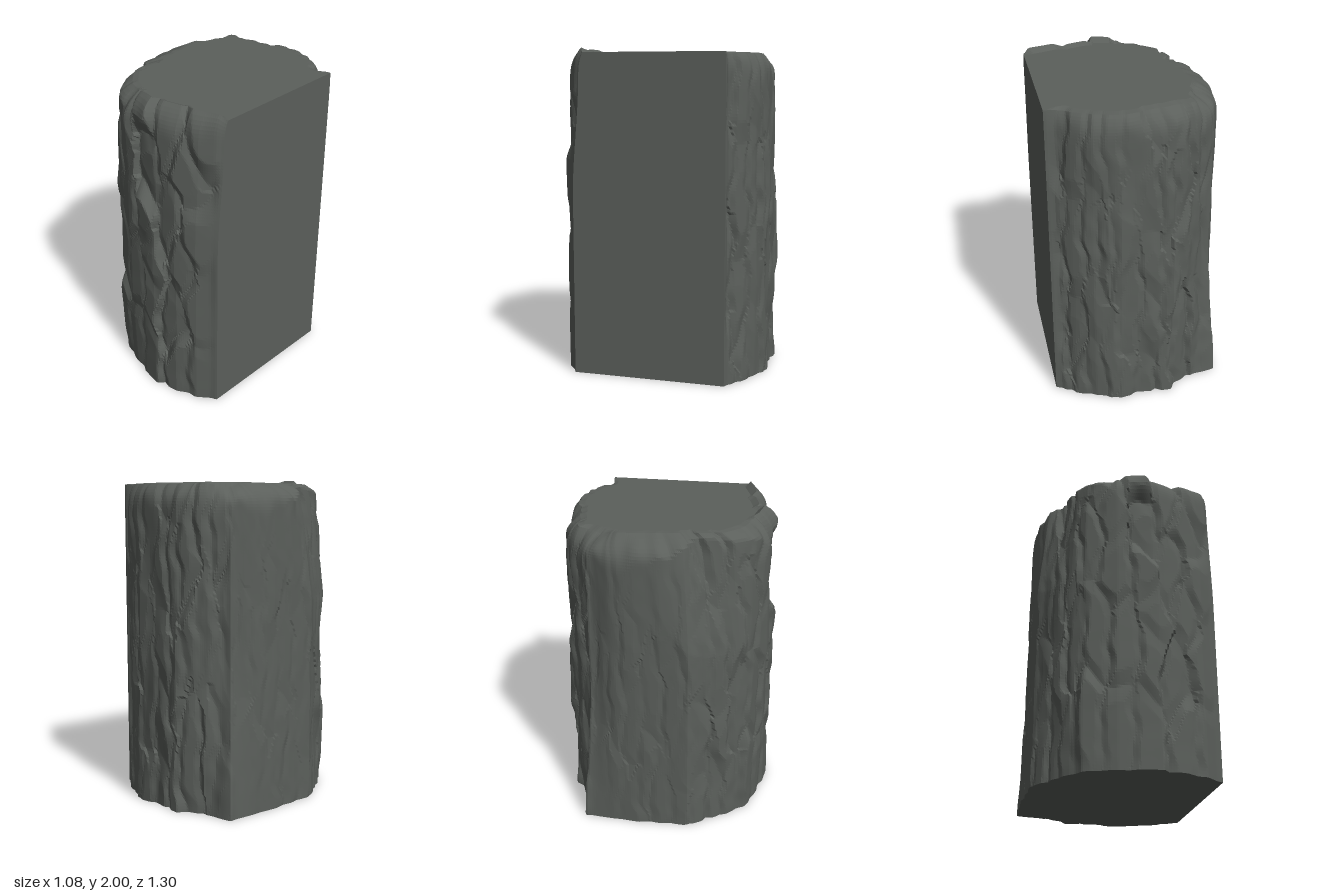
import * as THREE from 'three';

// Plan outline from the front right corner, clockwise seen from above: [x, z, x at top rim, z at top rim]
const OUTLINE = [
  [0.535, 0.49, 0.535, 0.46], [0.43, 0.57, 0.42, 0.49], [0.3, 0.63, 0.28, 0.53], [0.14, 0.65, 0.12, 0.56],
  [-0.1, 0.625, -0.08, 0.52], [-0.3, 0.55, -0.23, 0.45], [-0.36, 0.48, -0.31, 0.36], [-0.45, 0.34, -0.34, 0.2],
  [-0.53, 0.18, -0.36, 0.06], [-0.54, -0.15, -0.39, -0.16], [-0.53, -0.5, -0.42, -0.43], [-0.36, -0.56, -0.33, -0.52],
  [-0.19, -0.65, -0.18, -0.55], [0.14, -0.655, 0.12, -0.61], [0.3, -0.615, 0.28, -0.565], [0.42, -0.54, 0.4, -0.51],
  [0.5, -0.475, 0.49, -0.465], [0.535, -0.46, 0.535, -0.455],
];

// Front slabs: [x, y, depth]
const FRONT_SLABS = [
  [0.46, 0.15, -0.005], [0.3, 0.22, -0.015], [0.08, 0.2, -0.005], [-0.12, 0.25, -0.015], [-0.28, 0.3, -0.01],
  [0.11, 0.68, 0], [0.25, 0.55, -0.04], [0.45, 0.75, -0.005], [0.33, 0.95, -0.02], [-0.08, 0.75, -0.01],
  [-0.24, 0.85, -0.02], [0.13, 1.0, 0], [0.07, 1.22, 0.005], [0.42, 1.24, 0.005], [0.24, 1.28, -0.04],
  [0.36, 1.58, -0.012], [0.08, 1.6, -0.045], [-0.12, 1.3, -0.01], [-0.15, 1.7, -0.01], [0.04, 1.93, 0.005],
  [0.22, 1.83, -0.03], [0.43, 1.93, 0], [-0.3, 1.5, -0.02], [-0.25, 1.93, -0.015],
];

const { lerp, smoothstep } = THREE.MathUtils;

function seeded(seed) {
  return () => {
    seed = (seed * 16807) % 2147483647;
    return seed / 2147483647;
  };
}

// Running length along the outline
const lengths = [0];
for (let i = 1; i < OUTLINE.length; i++) {
  const [a, b] = [OUTLINE[i - 1], OUTLINE[i]];
  lengths.push(lengths[i - 1] + Math.hypot(b[0] - a[0], b[1] - a[1]));
}
const TOTAL = lengths[lengths.length - 1];

function outlineAt(s) {
  let i = 1;
  while (i < lengths.length - 1 && lengths[i] < s) i++;
  const t = (s - lengths[i - 1]) / (lengths[i] - lengths[i - 1]);
  return OUTLINE[i].map((v, k) => lerp(OUTLINE[i - 1][k], v, t));
}

// Tall cells of split stone, each a tilted plane with its own crack depth
function makeCells() {
  const rand = seeded(4711);
  const cell = (s, y, depth, tilt) => ({
    s, y, depth, crack: 0.022 * rand(), tiltS: (rand() - 0.5) * tilt, tiltY: (rand() - 0.5) * 0.07,
  });
  const cells = FRONT_SLABS.map(([x, y, depth]) => cell(0.57 - x, y, depth, 0.2));
  for (let s = 0.98; s < TOTAL; s += 0.12) {
    for (let y = rand() * 0.5; y < 2.1; y += 0.4 + rand() * 0.45) {
      cells.push(cell(s + (rand() - 0.5) * 0.09, y, -rand() * 0.03, 0.4));
    }
  }
  return cells;
}

function relief(cells, s, y) {
  // Bend the cell borders so cracks wander
  const ws = s + 0.014 * Math.sin(y * 13 + s * 9) + 0.006 * Math.sin(y * 31);
  const wy = y + 0.05 * Math.sin(s * 19);
  const stretch = s < 0.95 ? 2.6 : 4.5;
  let near = Infinity, next = Infinity, cell = null, other = null;
  for (const c of cells) {
    const d = Math.hypot((ws - c.s) * stretch, wy - c.y);
    if (d < near) {
      [next, other] = [near, cell];
      [near, cell] = [d, c];
    } else if (d < next) [next, other] = [d, c];
  }
  const face = cell.depth + cell.tiltS * (ws - cell.s) + cell.tiltY * (wy - cell.y);
  const crack = Math.min(cell.depth, other.depth) - (cell.crack + other.crack) / 2;
  return lerp(crack, face, Math.min(1, (next - near) / (0.065 * stretch)));
}

function rockGeometry() {
  const COLS = 240, ROWS = 110, TOP = 1.97;
  const cells = makeCells();
  const pos = [], index = [];
  const ring = COLS + 1;

  // Side wall rows; the closing span of each row is the flat cut face
  for (let j = 0; j <= ROWS; j++) {
    const y = (j / ROWS) * TOP;
    for (let i = 0; i <= COLS; i++) {
      const s = (i / COLS) * TOTAL;
      const [bx, bz, tx, tz] = outlineAt(s);
      // Chipped shoulder starting at an uneven height
      const shoulder = 1.77 + 0.04 * Math.sin(s * 17) + 0.015 * Math.sin(s * 43);
      let inward = 0.07 * (y / TOP) + 0.93 * Math.pow(Math.max(0, (y - shoulder) / (TOP - shoulder)), 3.5);
      // The front left side leans in over the upper half
      const lean = Math.exp(-(((s - 1.12) / 0.3) ** 2)) * Math.pow(Math.max(0, (y - 1.1) / 0.87), 1.5);
      inward = Math.max(inward, 0.75 * lean);
      let x = lerp(bx, tx, inward);
      // The front edge of the cut face leans back toward the top
      let z = lerp(bz, tz, inward) - 0.045 * smoothstep(y, 1.1, 1.85) * Math.exp(-s / 0.3);
      const r = Math.hypot(x, z);
      const ends = smoothstep(Math.min(s, TOTAL - s), 0, 0.05);
      const leftFace = 1 - 0.65 * smoothstep(-bx, 0.45, 0.53);
      // The back left corner flares out at the foot
      const corner = Math.exp(-((bx + 0.53) ** 2 + (bz + 0.5) ** 2) / 0.02);
      const push = relief(cells, s, y) * ends * leftFace - 0.085 * smoothstep(y, -0.2, 1.1) * corner;
      x += (x / r) * push;
      z += (z / r) * push;
      // Uneven broken rim, higher along the front
      const rim = smoothstep(y, 1.8, TOP) * ends;
      const lift = 0.028 * smoothstep(z, 0.3, 0.45) * smoothstep(x, -0.15, 0) + push * 0.3;
      pos.push(Math.min(x, 0.535), y + rim * lift, z);
    }
  }
  for (let j = 0; j < ROWS; j++) {
    for (let i = 0; i < ring; i++) {
      const n = (i + 1) % ring;
      const a = j * ring + i, b = j * ring + n, c = b + ring, d = a + ring;
      index.push(a, d, c, a, c, b);
    }
  }

  // Flat top inside the rim, and flat base
  const rimStart = ROWS * ring, innerStart = pos.length / 3;
  for (let i = 0; i < ring; i++) {
    const k = (rimStart + i) * 3;
    const end = i === 0 || i === COLS;
    pos.push(end ? 0.535 : pos[k] * 0.93, TOP, pos[k + 2] * (end ? 0.99 : 0.93));
  }
  const topCentre = pos.length / 3;
  pos.push(0, TOP, 0, 0, 0, 0);
  for (let i = 0; i < ring; i++) {
    const n = (i + 1) % ring;
    index.push(rimStart + i, innerStart + i, innerStart + n, rimStart + i, innerStart + n, rimStart + n);
    index.push(topCentre, innerStart + n, innerStart + i);
    index.push(topCentre + 1, i, n);
  }

  const indexed = new THREE.BufferGeometry();
  indexed.setAttribute('position', new THREE.Float32BufferAttribute(pos, 3));
  indexed.setIndex(index);
  const geometry = indexed.toNonIndexed();
  geometry.computeVertexNormals();
  return geometry;
}

export function createModel() {
  const stone = new THREE.MeshStandardMaterial({ color: 0x5b5f5b, flatShading: true });
  stone.name = 'dark grey stone';
  const group = new THREE.Group();
  group.name = 'rockPillar';
  const rock = new THREE.Mesh(rockGeometry(), stone);
  rock.name = 'stoneBlock';
  group.add(rock);
  return group;
}
